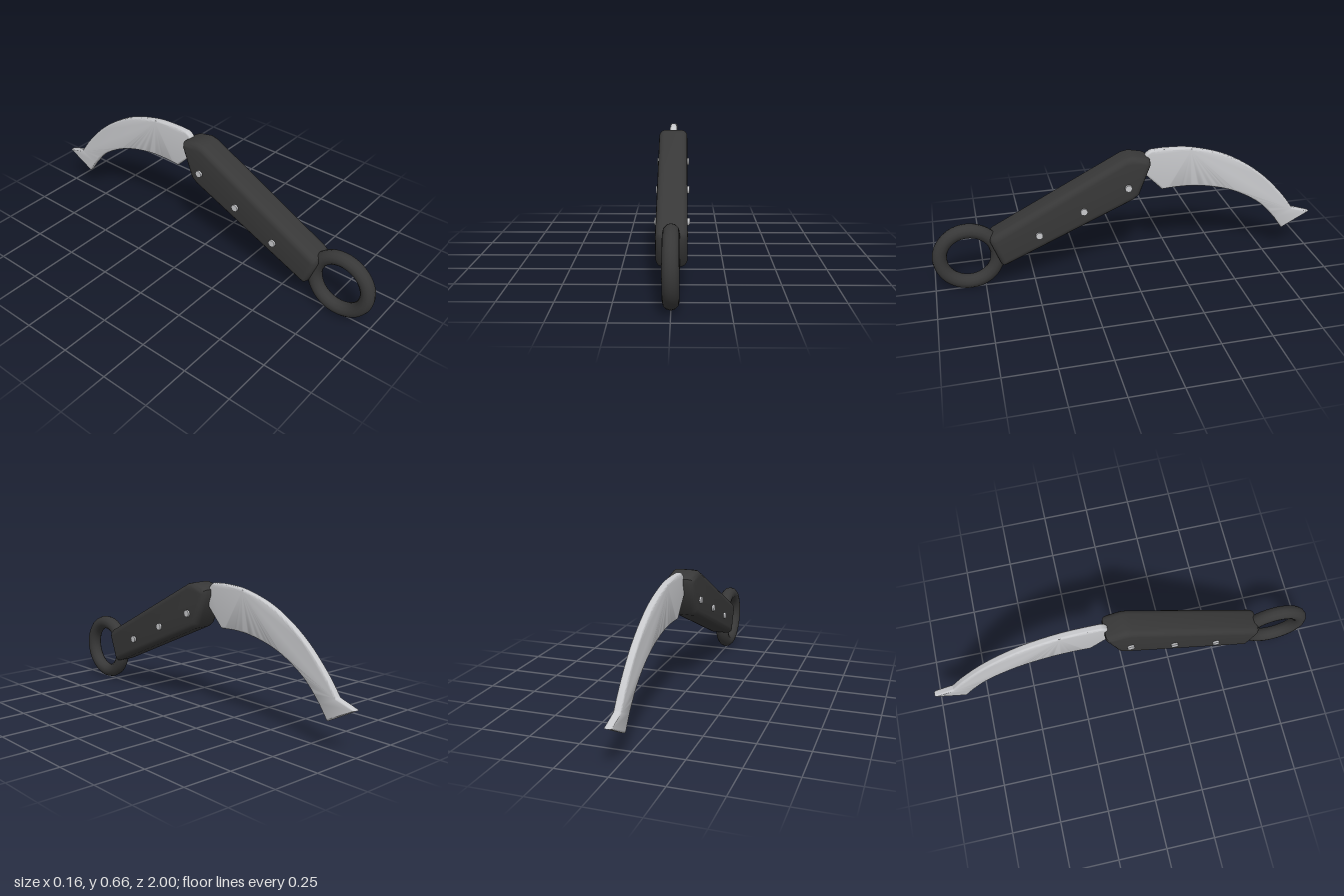
import * as THREE from 'three';
import { toCreasedNormals } from 'three/addons/utils/BufferGeometryUtils.js';

const gripBlack = new THREE.MeshStandardMaterial({ color: 0x383838 });
gripBlack.name = 'grip black';
const steel = new THREE.MeshStandardMaterial({ color: 0xc8c9cc });
steel.name = 'steel';

// Bevelled plate centred on its thickness; the outline is its outermost contour
function plate(shape, halfWidth, bevel) {
  const geo = new THREE.ExtrudeGeometry(shape, {
    depth: 2 * (halfWidth - bevel),
    bevelThickness: bevel, bevelSize: bevel, bevelOffset: -bevel,
    bevelSegments: 4, curveSegments: 10,
  });
  geo.translate(0, 0, -(halfWidth - bevel));
  return toCreasedNormals(geo, 0.65);
}

function addMesh(parent, name, geometry, material) {
  const mesh = new THREE.Mesh(geometry, material);
  mesh.name = name;
  parent.add(mesh);
  return mesh;
}

const points = (list) => list.map(([x, y]) => new THREE.Vector2(x, y));

export function createModel() {
  const model = new THREE.Group();
  model.name = 'curvedKnife';

  // Parts are drawn in profile, then turned so the blade points to the back
  const knife = new THREE.Group();
  knife.name = 'knife';
  knife.rotation.y = Math.PI / 2;
  model.add(knife);

  // Finger ring
  addMesh(knife, 'fingerRing', new THREE.TorusGeometry(0.143, 0.036, 12, 48), gripBlack)
    .position.set(-0.821, 0.18, 0);

  // Handle with softened corners
  const handle = new THREE.Shape(points([
    [-0.713, 0.268], [-0.709, 0.29], [-0.69, 0.307], [-0.035, 0.645], [0.003, 0.653],
    [0.072, 0.638], [0.095, 0.625], [0.098, 0.6], [0.04, 0.445], [0.01, 0.42],
    [-0.634, 0.138], [-0.655, 0.132], [-0.669, 0.146],
  ].reverse()));
  addMesh(knife, 'handle', plate(handle, 0.07, 0.03), gripBlack);

  // Rivets through the handle
  for (const [x, y] of [[-0.473, 0.29], [-0.247, 0.394], [-0.021, 0.496]]) {
    const rivet = addMesh(knife, 'rivet', new THREE.CylinderGeometry(0.018, 0.018, 0.16, 12), steel);
    rivet.rotation.x = Math.PI / 2;
    rivet.position.set(x, y, 0);
  }

  // Hooked blade with a flared tip
  const blade = new THREE.Shape();
  blade.moveTo(0.074, 0.537);
  blade.lineTo(0.168, 0.441);
  blade.splineThru(points([[0.26, 0.445], [0.366, 0.438], [0.5, 0.407], [0.607, 0.361],
    [0.714, 0.29], [0.799, 0.198]]));
  blade.lineTo(0.846, 0.131);
  blade.lineTo(0.998, 0.213);
  blade.lineTo(0.896, 0.248);
  blade.splineThru(points([[0.832, 0.334], [0.725, 0.447], [0.607, 0.537], [0.473, 0.607],
    [0.313, 0.652], [0.19, 0.662], [0.108, 0.66]]));
  blade.lineTo(0.085, 0.645);
  blade.lineTo(0.074, 0.622);
  blade.closePath();
  addMesh(knife, 'blade', plate(blade, 0.018, 0.011), steel);

  return model;
}
